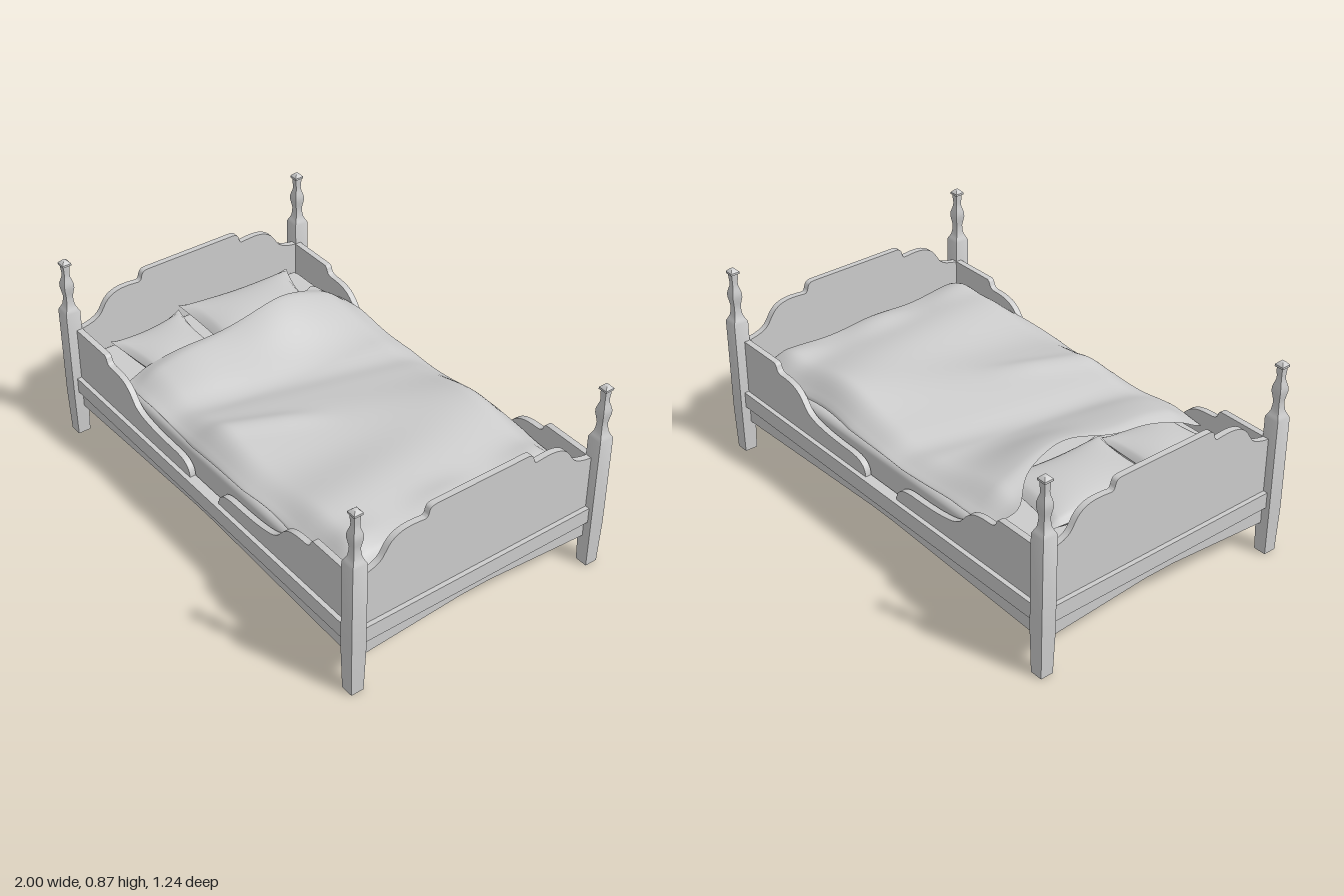
import * as THREE from 'three';
import { toCreasedNormals } from 'three/addons/utils/BufferGeometryUtils.js';
import { RoundedBoxGeometry } from 'three/addons/geometries/RoundedBoxGeometry.js';

const wood = new THREE.MeshStandardMaterial({ color: 0xcccccc });
const cloth = new THREE.MeshStandardMaterial({ color: 0xcccccc, side: THREE.DoubleSide });

const smooth = THREE.MathUtils.smoothstep;
const lerp = THREE.MathUtils.lerp;
const bump = (d, w) => Math.exp(-(d * d) / (w * w));

function add(parent, name, geometry, material = wood) {
  const mesh = new THREE.Mesh(geometry, material);
  mesh.name = name;
  parent.add(mesh);
  return mesh;
}

// Square turned post: half-width against height, lathed with four sides
function postGeometry() {
  const profile = [
    [0, 0], [0.028, 0], [0.033, 0.2], [0.033, 0.62], [0.026, 0.634], [0.019, 0.65],
    [0.016, 0.672], [0.015, 0.69], [0.018, 0.71], [0.022, 0.733], [0.022, 0.75],
    [0.018, 0.767], [0.013, 0.785], [0.012, 0.8], [0.014, 0.825], [0.014, 0.838],
    [0.02, 0.841], [0.02, 0.85], [0.008, 0.863], [0, 0.865],
  ].map(([w, y]) => new THREE.Vector2(w * Math.SQRT2, y));
  return toCreasedNormals(new THREE.LatheGeometry(profile, 4, Math.PI / 4), 0.6);
}

// Panel cut from half an upper outline, mirrored, with a shallow arched apron below
function panelGeometry(halfTop, halfWidth, depth) {
  const right = halfTop.getPoints(8);
  const left = right.map((p) => new THREE.Vector2(-p.x, p.y)).reverse();
  const shape = new THREE.Shape([
    new THREE.Vector2(-halfWidth, 0.138), new THREE.Vector2(-0.07, 0.172),
    new THREE.Vector2(0.07, 0.172), new THREE.Vector2(halfWidth, 0.138),
    ...right, ...left,
  ]);
  const geometry = new THREE.ExtrudeGeometry(shape, { depth, bevelEnabled: false });
  return toCreasedNormals(geometry, 0.6);
}

function sideOutline() {
  const p = new THREE.Path();
  p.moveTo(0.936, 0.53);
  p.lineTo(0.715, 0.53);
  p.bezierCurveTo(0.69, 0.525, 0.71, 0.495, 0.67, 0.49);
  p.bezierCurveTo(0.59, 0.49, 0.55, 0.48, 0.51, 0.425);
  p.bezierCurveTo(0.48, 0.38, 0.43, 0.375, 0.35, 0.365);
  p.bezierCurveTo(0.28, 0.36, 0.24, 0.36, 0.2, 0.36);
  p.bezierCurveTo(0.13, 0.358, 0.1, 0.335, 0.1, 0.288);
  return p;
}

function endOutline() {
  const p = new THREE.Path();
  p.moveTo(0.555, 0.528);
  p.bezierCurveTo(0.44, 0.545, 0.46, 0.575, 0.42, 0.62);
  p.bezierCurveTo(0.38, 0.658, 0.33, 0.655, 0.265, 0.648);
  p.bezierCurveTo(0.24, 0.65, 0.26, 0.693, 0.22, 0.695);
  return p;
}

// Grid surface from a rule that maps u, v in -1..1 to a point
function sheet(rule, nu, nv) {
  const position = [];
  const index = [];
  for (let j = 0; j <= nv; j++) {
    for (let i = 0; i <= nu; i++) {
      position.push(...rule((2 * i) / nu - 1, (2 * j) / nv - 1));
      if (i < nu && j < nv) {
        const a = j * (nu + 1) + i;
        const b = a + nu + 1;
        index.push(a, b, a + 1, a + 1, b, b + 1);
      }
    }
  }
  const geometry = new THREE.BufferGeometry();
  geometry.setAttribute('position', new THREE.Float32BufferAttribute(position, 3));
  geometry.setIndex(index);
  geometry.computeVertexNormals();
  return geometry;
}

// Pillow: two bulging sheets between four drawn-out corners
function pillow(corners, y, thickness) {
  const group = new THREE.Group();
  const [a, b, c, d] = corners;
  for (const side of [1, -1]) {
    const rule = (u, v) => {
      const pu = u * (1 - 0.1 * (1 - v * v));
      const pv = v * (1 - 0.08 * (1 - u * u));
      const s = (pu + 1) / 2;
      const t = (pv + 1) / 2;
      const puff = Math.pow((1 - u * u) * (1 - v * v), 0.45);
      return [
        lerp(lerp(a[0], b[0], s), lerp(d[0], c[0], s), t),
        y + 0.02 * (u * u * v * v) + side * thickness * puff,
        lerp(lerp(a[1], b[1], s), lerp(d[1], c[1], s), t),
      ];
    };
    add(group, side > 0 ? 'pillowTop' : 'pillowBottom', sheet(rule, 20, 24), cloth);
  }
  return group;
}

// Rumpled cover: raised over the pillows, diagonal folds, edges turned down
function blanketPoint(u, v) {
  const z = 0.55 * Math.sign(v) * Math.min(1, Math.abs(v) * 1.05);
  const headEdge = -0.58 + 0.035 * bump(z + 0.08, 0.2)
    - 0.085 * bump(z + 0.45, 0.08) - 0.04 * smooth(z, 0.2, 0.55);
  const x = lerp(headEdge, 0.912 - 0.02 * bump(z, 0.35), Math.min(1, (u + 1) / 1.97));
  let y = 0.465;
  // lift over the pillows
  y += 0.135 * (1 - smooth(x, -0.56, -0.2)) * bump(z + 0.17, 0.3);
  y += 0.055 * (1 - smooth(x, -0.56, -0.2)) * bump(z - 0.3, 0.2);
  y -= 0.03 * (1 - smooth(x, -0.64, -0.53));
  // diagonal folds
  y += 0.04 * bump(x - 0.15 + 0.35 * z, 0.2);
  y -= 0.018 * bump(x + 0.18 + 0.25 * z, 0.08);
  y += 0.018 * bump(x - 0.02 + 0.45 * (z - 0.3), 0.06) * smooth(z, 0, 0.25);
  y += 0.055 * bump(x - 0.53 - 0.15 * z, 0.22);
  y += 0.03 * bump(x - 0.78, 0.08) * (0.6 + 0.4 * Math.cos(z * 14));
  // turned down sides and foot
  const hem = 0.418 + 0.02 * bump(x + 0.45, 0.15) + 0.025 * bump(x - 0.4, 0.2);
  const sideDrop = Math.pow(smooth(Math.abs(v), 0.72, 1), 1.4);
  const footDrop = smooth(u, 0.88, 1);
  y = lerp(y, hem, sideDrop);
  y = lerp(y, 0.4, footDrop);
  const wave = 0.006 * Math.sin(x * 9 + 1) * Math.sign(v) * sideDrop;
  return [x, y, z - Math.abs(wave) * Math.sign(v)];
}

export function createModel() {
  const bed = new THREE.Group();
  bed.name = 'bed';

  // Corner posts
  const post = postGeometry();
  for (const x of [-0.967, 0.967]) {
    for (const z of [-0.585, 0.585]) add(bed, 'cornerPost', post).position.set(x, 0, z);
  }

  // Side panels and their rails
  const sidePanel = panelGeometry(sideOutline(), 0.936, 0.027);
  const sideRail = new THREE.BoxGeometry(1.872, 0.07, 0.046);
  for (const s of [1, -1]) {
    const side = new THREE.Group();
    side.name = s > 0 ? 'frontSide' : 'backSide';
    side.rotation.y = s > 0 ? 0 : Math.PI;
    add(side, 'sidePanel', sidePanel).position.z = 0.55;
    add(side, 'sideRail', sideRail).position.set(0, 0.255, 0.574);
    bed.add(side);
  }

  // Headboard and footboard with their rails
  const endPanel = panelGeometry(endOutline(), 0.555, 0.027);
  const endRail = new THREE.BoxGeometry(1.11, 0.07, 0.046);
  for (const s of [1, -1]) {
    const end = new THREE.Group();
    end.name = s > 0 ? 'footboard' : 'headboard';
    end.rotation.y = (s * Math.PI) / 2;
    add(end, 'endPanel', endPanel).position.z = 0.935;
    add(end, 'endRail', endRail).position.set(0, 0.255, 0.959);
    bed.add(end);
  }

  // Bed base and mattress
  add(bed, 'bedBase', new THREE.BoxGeometry(1.872, 0.03, 1.1)).position.y = 0.195;
  add(bed, 'mattress', new RoundedBoxGeometry(1.86, 0.2, 1.09, 4, 0.035)).position.y = 0.307;

  // Pillows
  const backPillow = pillow([[-0.84, -0.43], [-0.46, -0.37], [-0.48, 0.12], [-0.88, 0.11]], 0.475, 0.06);
  backPillow.name = 'backPillow';
  const frontPillow = pillow([[-0.88, 0.11], [-0.48, 0.12], [-0.48, 0.43], [-0.85, 0.47]], 0.455, 0.048);
  frontPillow.name = 'frontPillow';
  bed.add(backPillow, frontPillow);

  // Blanket
  add(bed, 'blanket', sheet(blanketPoint, 90, 70), cloth);

  return bed;
}
